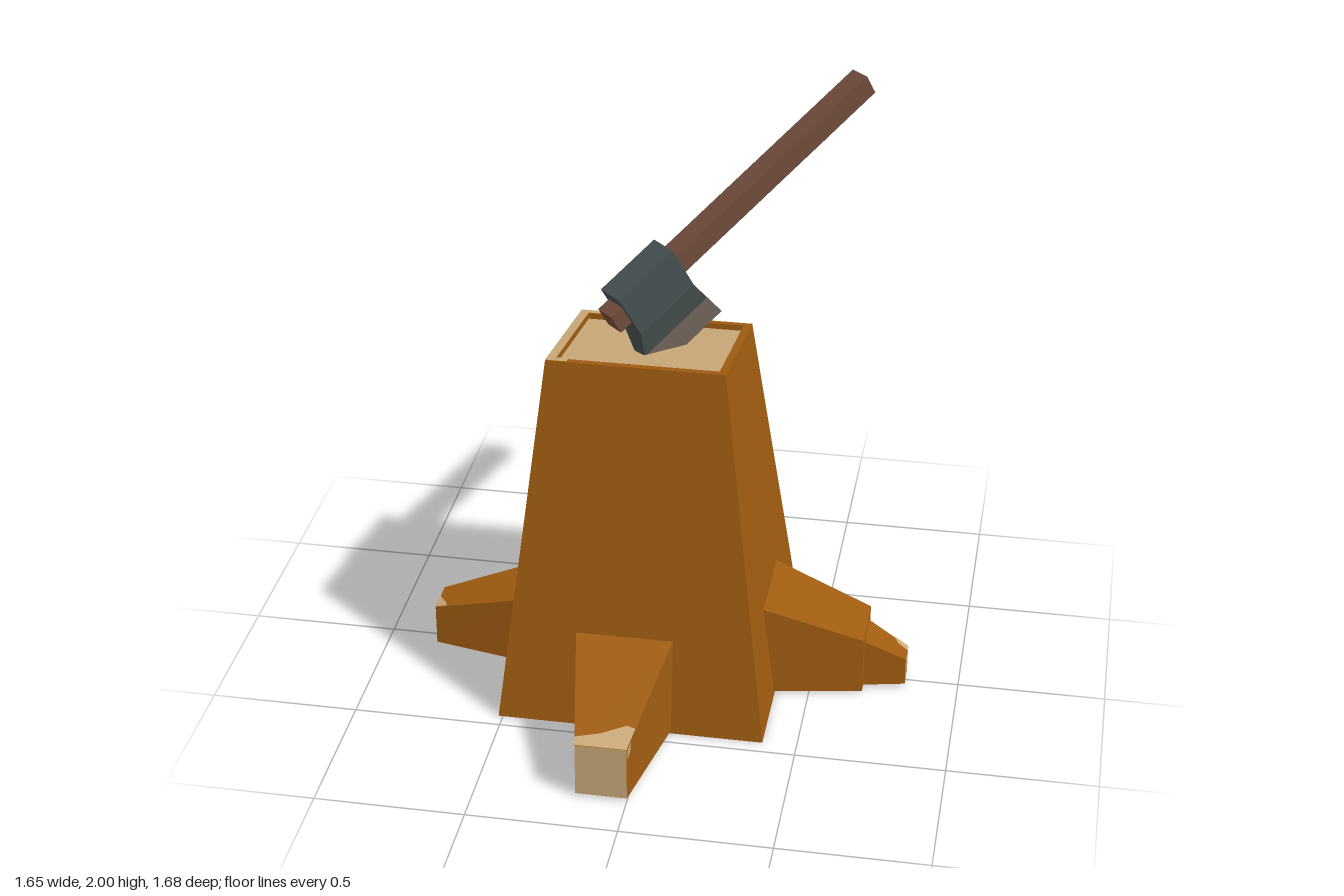
import * as THREE from 'three';

const mat = (name, color) => new THREE.MeshStandardMaterial({ name, color, flatShading: true, side: THREE.DoubleSide });
const bark = mat('bark', 0xa05c10);
const cutWood = mat('cut wood', 0xcaa97a);
const handleWood = mat('handle wood', 0x6f4b3c);
const steel = mat('dark steel', 0x455050);
const bladeSteel = mat('blade steel', 0x786a60);

const V = (x, y, z) => new THREE.Vector3(x, y, z);

// Mesh from a list of flat convex polygons, each split as a fan
function polyMesh(name, material, polys) {
  const pts = [];
  for (const p of polys) {
    for (let i = 1; i < p.length - 1; i++) pts.push(p[0], p[i], p[i + 1]);
  }
  const geo = new THREE.BufferGeometry().setFromPoints(pts);
  geo.computeVertexNormals();
  const mesh = new THREE.Mesh(geo, material);
  mesh.name = name;
  return mesh;
}

// Polygon given in the 0..1 space of a quad, lifted slightly off its face
function patchOn(q, uvs) {
  const n = q[1].clone().sub(q[0]).cross(q[3].clone().sub(q[0])).normalize();
  return uvs.map(([u, v]) => q[0].clone().lerp(q[1], u)
    .lerp(q[3].clone().lerp(q[2], u), v).addScaledVector(n, 0.003));
}

// Quads joining two rings of four points
const band = (a, b) => a.map((p, i) => [p, a[(i + 1) % 4], b[(i + 1) % 4], b[i]]);

// Sloping top of the stump
const topY = (z) => 1.235 + 0.19 * z;
const rect = (x0, x1, z0, z1, drop = 0) =>
  [[x0, z1], [x1, z1], [x1, z0], [x0, z0]].map(([x, z]) => V(x, topY(z) - drop, z));

const BASE = [V(-0.515, 0, 0.45), V(0.385, 0, 0.45), V(0.385, 0, -0.45), V(-0.515, 0, -0.45)];
const TOP = rect(-0.36, 0.225, -0.29, 0.29);

// Each side: map(outward, across, y), and root rings as
// [outward at bottom, outward at top, centre, half width, height]
const SIDES = [
  {
    name: 'front', map: (o, a, y) => V(a, y, o),
    segments: [[[0.449, 0.408, -0.0875, 0.163, 0.34], [0.84, 0.84, -0.085, 0.085, 0.2]]],
    patches: [['top', [[0, 0], [1, 0], [1, 0.19], [0.85, 0.21], [0.45, 0.12], [0, 0.07]]],
      ['right', [[0, 0.8], [0.06, 0.85], [0.08, 1], [0, 1]]]],
  },
  {
    name: 'right', map: (o, a, y) => V(o, y, -a),
    segments: [
      [[0.384, 0.342, 0, 0.16, 0.335], [0.68, 0.68, 0, 0.11, 0.215]],
      [[0.68, 0.68, 0, 0.07, 0.185], [0.82, 0.82, 0, 0.04, 0.11]],
    ],
    patches: [['top', [[0.65, 0], [1, 0], [1, 0.38], [0.75, 0.25]]]],
  },
  {
    name: 'back', map: (o, a, y) => V(-a, y, -o),
    segments: [[[0.449, 0.404, 0.0875, 0.163, 0.34], [0.84, 0.84, 0.085, 0.085, 0.2]]],
    patches: [['top', [[0.35, 0], [1, 0], [1, 0.04], [0.85, 0.1], [0.6, 0.11], [0.4, 0.05]]],
      ['left', [[1, 0.15], [1, 0.65], [0.93, 0.6], [0.9, 0.35], [0.95, 0.12]]]],
  },
  {
    name: 'left', map: (o, a, y) => V(-o, y, a),
    segments: [[[0.514, 0.482, 0, 0.128, 0.265], [0.825, 0.825, 0, 0.065, 0.155]]],
    patches: [['top', [[0.45, 0], [1, 0], [1, 0.13], [0.85, 0.1], [0.8, 0.03]]]],
  },
];

const ring = (map, [ob, ot, c, w, h]) =>
  [map(ob, c - w, 0.01), map(ob, c + w, 0.01), map(ot, c + w, h), map(ot, c - w, h)];

function makeRoot(side) {
  const group = new THREE.Group();
  group.name = side.name + 'Root';
  const skin = [];
  let faces, tip;
  side.segments.forEach((seg, i) => {
    const [b, e] = seg.map((r) => ring(side.map, r));
    // Step between two segments
    if (i > 0) skin.push(...band(tip, b).slice(1));
    faces = {
      top: [e[3], e[2], b[2], b[3]],
      right: [e[1], b[1], b[2], e[2]],
      left: [b[0], e[0], e[3], b[3]],
    };
    skin.push(...Object.values(faces));
    tip = e;
  });
  group.add(polyMesh('rootBark', bark, skin));
  group.add(polyMesh('rootCutEnd', cutWood, [tip]));
  group.add(polyMesh('rootBarePatch', cutWood, side.patches.map(([f, uv]) => patchOn(faces[f], uv))));
  return group;
}

function makeStump() {
  const group = new THREE.Group();
  group.name = 'stump';
  // Hollow walls, each with an opening into its root
  const walls = [];
  SIDES.forEach((side, i) => {
    const j = (i + 1) % 4;
    const [A, B, C, D] = [BASE[i], BASE[j], TOP[j], TOP[i]];
    const [bl, br, tr, tl] = ring(side.map, side.segments[0][0]);
    walls.push([A, bl, tl, D], [tl, tr, C, D], [br, B, C, tr], [A, B, br, bl]);
    group.add(makeRoot(side));
  });
  group.add(polyMesh('trunkBark', bark, walls));

  // Rim, shallow recess and sawn surface
  const inner = rect(-0.33, 0.2, -0.26, 0.257);
  const floor = rect(-0.33, 0.2, -0.26, 0.257, 0.02);
  group.add(polyMesh('rim', bark, [...band(TOP, inner), ...band(inner, floor)]));
  group.add(polyMesh('sawnSurface', cutWood, [floor]));
  group.add(polyMesh('bareRim', cutWood, [
    rect(-0.36, -0.33, -0.29, 0.29, -0.003),
    rect(-0.33, -0.29, -0.29, -0.26, -0.003),
    rect(-0.33, -0.29, 0.257, 0.29, -0.003),
  ]));
  return group;
}

function makeAxe() {
  const group = new THREE.Group();
  group.name = 'axe';
  const handle = new THREE.Mesh(new THREE.BoxGeometry(1.176, 0.075, 0.075), handleWood);
  handle.name = 'handle';
  group.add(handle);

  // Head cross-sections: height, x range, half thickness
  const rings = [
    [0.077, -0.54, -0.3, 0.053],
    [-0.09, -0.54, -0.3, 0.053],
    [-0.19, -0.565, -0.276, 0.029],
    [-0.302, -0.59, -0.25, 0.003],
  ].map(([y, x0, x1, t]) => [V(x0, y, t), V(x1, y, t), V(x1, y, -t), V(x0, y, -t)]);
  group.add(polyMesh('axeHead', steel, [rings[0], ...band(rings[1], rings[0]), ...band(rings[2], rings[1])]));
  group.add(polyMesh('axeBlade', bladeSteel, [...band(rings[3], rings[2]), rings[3].slice().reverse()]));

  group.rotation.order = 'YXZ';
  group.rotation.set(0, Math.PI / 4, Math.PI / 6);
  group.position.set(0.185, 1.673, -0.207);
  return group;
}

export function createModel() {
  const model = new THREE.Group();
  model.name = 'stumpWithAxe';
  model.add(makeStump(), makeAxe());
  return model;
}
